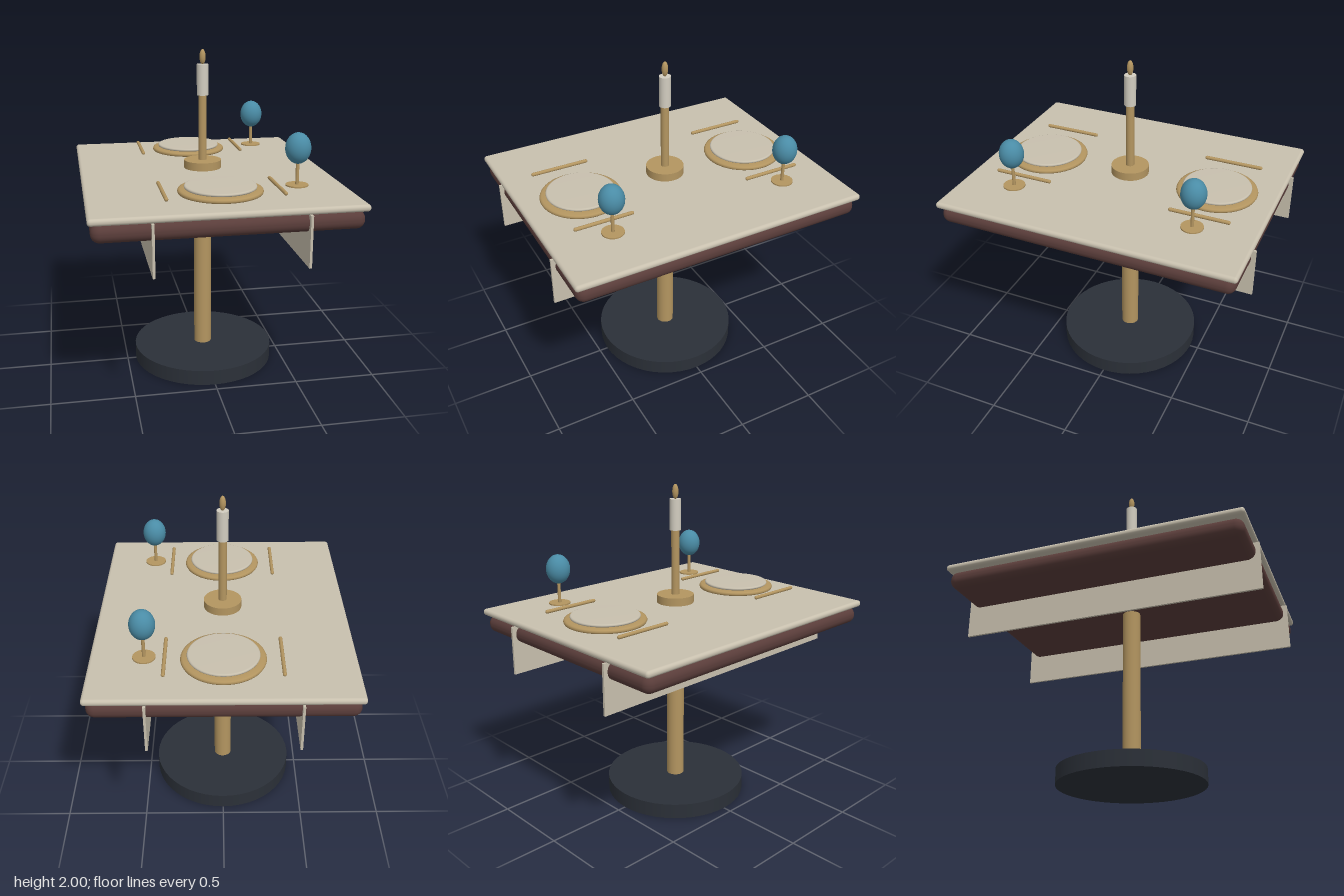
import * as THREE from 'three';
import { RoundedBoxGeometry } from 'three/addons/geometries/RoundedBoxGeometry.js';

const paint = (color) => new THREE.MeshStandardMaterial({ color });

export function createModel() {
  const model = new THREE.Group();
  const gold = paint(0xb39560), linen = paint(0xc8c0ae), wood = paint(0x5a3d3a);
  const iron = paint(0x2b3038), blue = paint(0x4a8ca6), wax = paint(0xd2cdc0);

  const add = (parent, name, geometry, material, x = 0, y = 0, z = 0) => {
    const mesh = new THREE.Mesh(geometry, material);
    mesh.name = name;
    mesh.position.set(x, y, z);
    parent.add(mesh);
    return mesh;
  };
  // Upright cylinder given by its bottom and top heights
  const post = (parent, name, r, y0, y1, material, x = 0, z = 0, sides = 32) =>
    add(parent, name, new THREE.CylinderGeometry(r, r, y1 - y0, sides), material, x, (y0 + y1) / 2, z);
  const lathe = (points) =>
    new THREE.LatheGeometry(points.map(([r, y]) => new THREE.Vector2(r, y)), 48);

  // Pedestal
  post(model, 'base', 0.445, 0, 0.095, iron, 0, 0, 48);
  post(model, 'column', 0.055, 0.095, 1.13, gold);

  // Table top, cloth and the two hanging cloth panels
  add(model, 'tableTop', new RoundedBoxGeometry(1.48, 0.105, 1.8, 6, 0.05), wood, 0, 1.162, 0);
  add(model, 'tablecloth', new RoundedBoxGeometry(1.51, 0.04, 1.83, 4, 0.019), linen, 0, 1.235, 0);
  for (const side of [-1, 1]) {
    add(model, 'clothPanel', new THREE.BoxGeometry(0.014, 0.295, 1.85), linen, side * 0.422, 1.067, 0);
  }

  // Candlestick
  const candlestick = new THREE.Group();
  candlestick.name = 'candlestick';
  post(candlestick, 'candlestickFoot', 0.115, 1.275, 1.325, gold);
  post(candlestick, 'candlestickStem', 0.025, 1.325, 1.73, gold);
  post(candlestick, 'candle', 0.035, 1.725, 1.912, wax);
  add(candlestick, 'flame', new THREE.SphereGeometry(1, 20, 14), gold, 0, 1.955, 0).scale.set(0.019, 0.045, 0.019);
  model.add(candlestick);

  // Place settings at both ends of the table
  for (const end of [-1, 1]) {
    const setting = new THREE.Group();
    setting.name = 'placeSetting';
    setting.position.z = end * 0.56;

    add(setting, 'chargerPlate', lathe([
      [0, 1.265], [0.23, 1.265], [0.238, 1.268], [0.242, 1.277], [0.238, 1.287],
      [0.228, 1.291], [0.215, 1.291], [0.205, 1.294], [0, 1.294],
    ]), gold);
    add(setting, 'dinnerPlate', lathe([
      [0, 1.292], [0.196, 1.292], [0.203, 1.297], [0.205, 1.303], [0.202, 1.309],
      [0.195, 1.312], [0, 1.312],
    ]), linen);

    // Cutlery on either side of the plate
    for (const side of [-1, 1]) {
      const bar = add(setting, 'cutlery', new THREE.CapsuleGeometry(0.011, 0.347, 6, 12), gold, side * 0.328, 1.29, 0);
      bar.rotation.x = Math.PI / 2;
    }

    // Goblet
    post(setting, 'gobletFoot', 0.065, 1.284, 1.292, gold, 0.442);
    post(setting, 'gobletStem', 0.01, 1.29, 1.43, gold, 0.442, 0, 16);
    add(setting, 'gobletBowl', new THREE.SphereGeometry(1, 32, 20), blue, 0.442, 1.5, 0).scale.set(0.073, 0.089, 0.073);
    model.add(setting);
  }
  return model;
}
